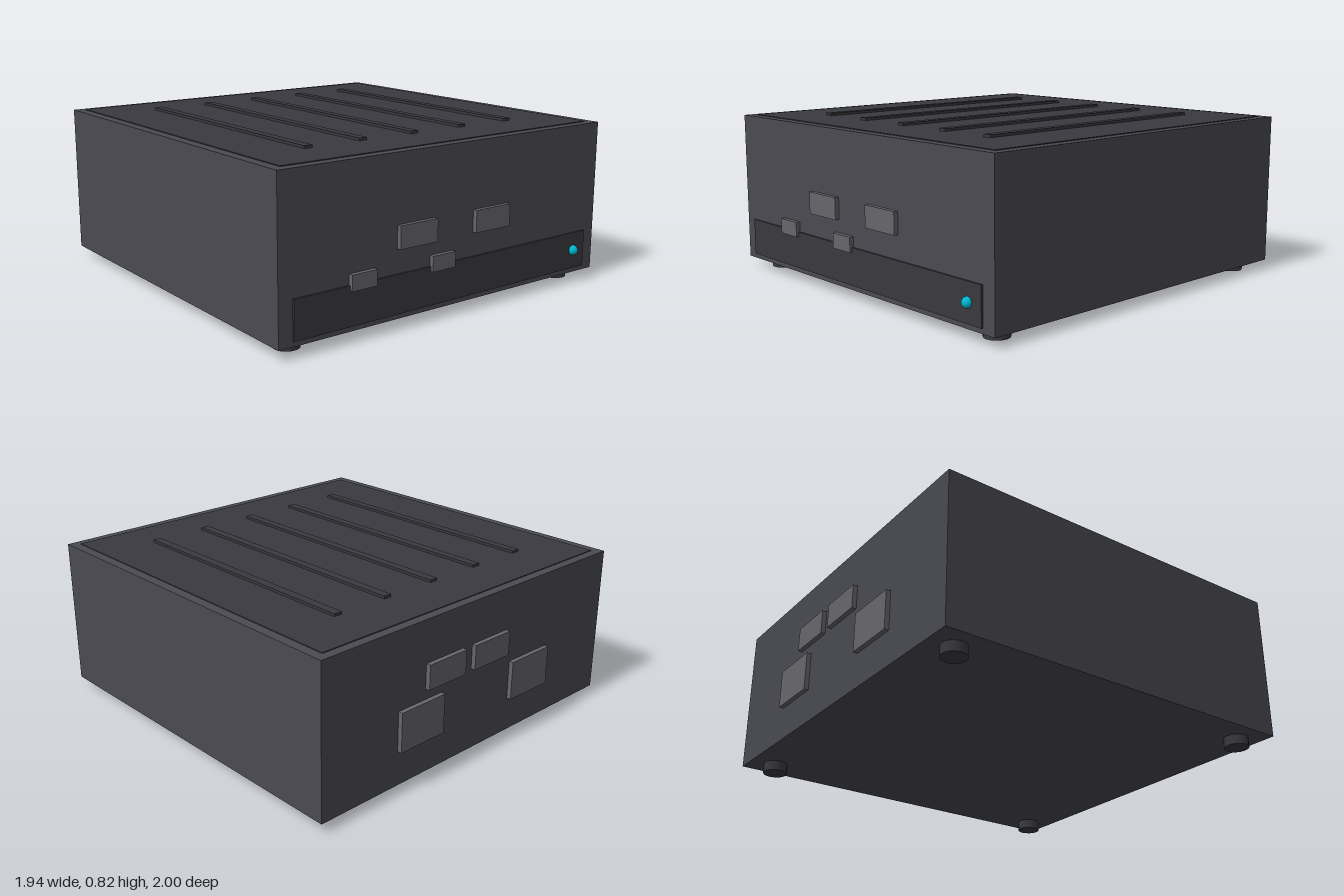
import * as THREE from 'three';

const paint = (color) => new THREE.MeshStandardMaterial({ color });

export function createModel() {
  const model = new THREE.Group();
  const shell = paint(0x4a4a52), dark = paint(0x3a393f), metal = paint(0x66666c), cyan = paint(0x00b8d4);
  const midZ = -0.008; // centre of the case in depth

  // Box given by its limits on each axis
  function box(name, material, [x0, x1], [y0, y1], [z0, z1]) {
    const mesh = new THREE.Mesh(new THREE.BoxGeometry(x1 - x0, y1 - y0, z1 - z0), material);
    mesh.position.set((x0 + x1) / 2, (y0 + y1) / 2, (z0 + z1) / 2);
    mesh.name = name;
    model.add(mesh);
  }

  // Case with a thin dark lid panel and front strip
  box('case', shell, [-0.968, 0.968], [0.05, 0.806], [-0.977, 0.961]);
  box('topPanel', dark, [-0.92, 0.92], [0.79, 0.81], [-0.932, 0.914]);
  box('frontStrip', dark, [-0.896, 0.896], [0.075, 0.26], [0.94, 0.97]);

  // Raised ribs on the lid
  for (let i = -2; i <= 2; i++) {
    const x = i * 0.305;
    box('ventRib', dark, [x - 0.022, x + 0.022], [0.8, 0.823], [-0.693, 0.677]);
  }

  // Front ports: two large, two small
  for (const x of [-0.228, 0.228]) box('frontPort', metal, [x - 0.109, x + 0.109], [0.375, 0.483], [0.94, 0.983]);
  for (const x of [-0.535, -0.075]) box('smallFrontPort', metal, [x - 0.069, x + 0.069], [0.236, 0.311], [0.94, 0.983]);

  // Back ports: a pair of wide upper ones, a pair of tall lower ones
  for (const x of [-0.082, 0.225]) box('upperBackPort', metal, [x - 0.122, x + 0.122], [0.472, 0.595], [-1, -0.95]);
  for (const x of [-0.382, 0.378]) box('lowerBackPort', metal, [x - 0.138, x + 0.138], [0.223, 0.42], [-1, -0.95]);

  // Power light
  const light = new THREE.Mesh(new THREE.SphereGeometry(0.026, 12, 8), cyan);
  light.position.set(0.813, 0.17, 0.974);
  light.name = 'powerLight';
  model.add(light);

  // Round feet
  const footGeometry = new THREE.CylinderGeometry(0.061, 0.061, 0.055, 16);
  for (const sx of [-1, 1]) {
    for (const sz of [-1, 1]) {
      const foot = new THREE.Mesh(footGeometry, dark);
      foot.position.set(sx * 0.84, 0.0275, midZ + sz * 0.84);
      foot.name = 'foot';
      model.add(foot);
    }
  }
  return model;
}
